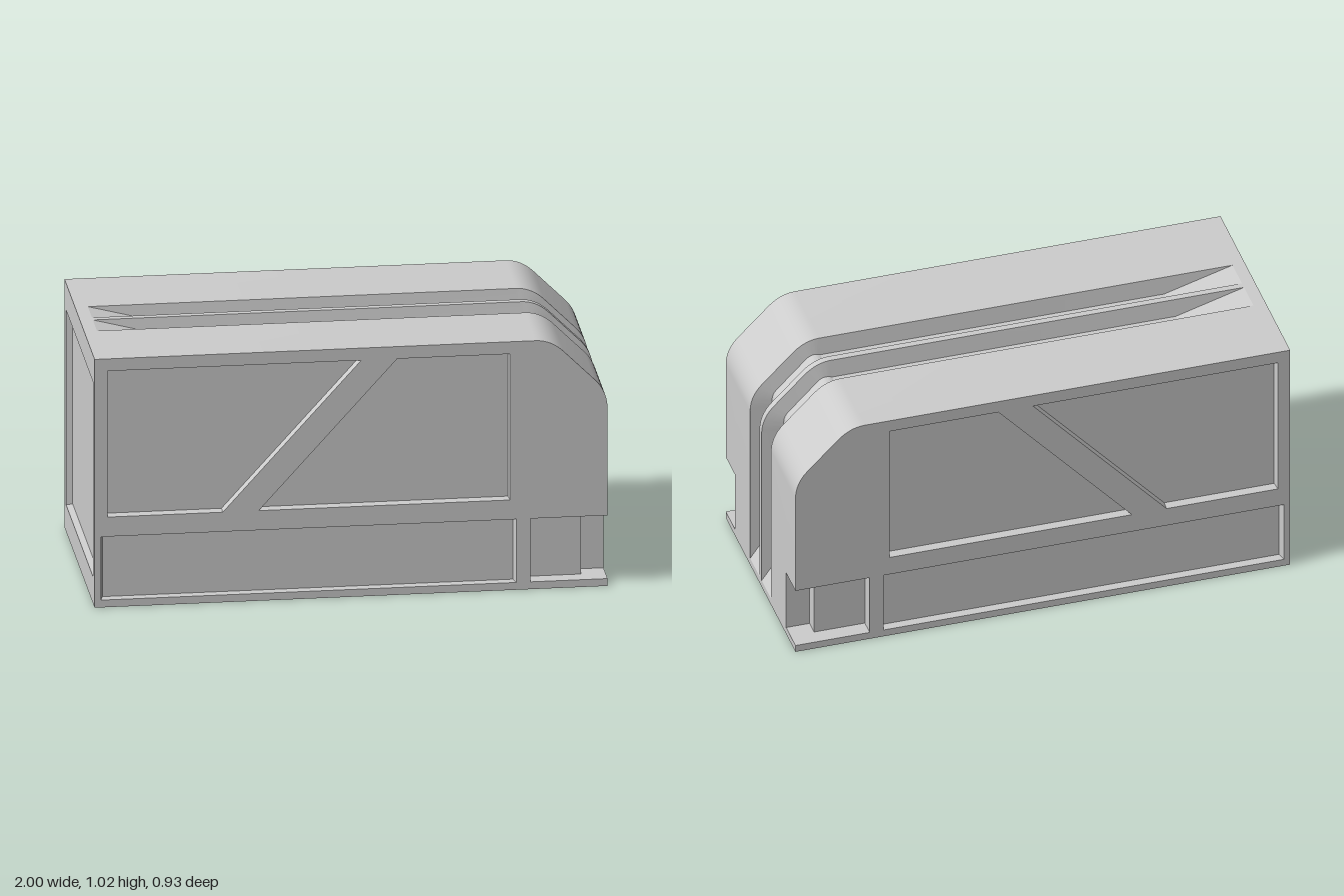
import * as THREE from 'three';
import { toCreasedNormals } from 'three/addons/utils/BufferGeometryUtils.js';

const W = 0.465, H = 1.02;
const material = new THREE.MeshStandardMaterial({ color: 0xcccccc });
const v2 = (x, y) => new THREE.Vector2(x, y);
const v3 = (x, y, z) => new THREE.Vector3(x, y, z);

// Turns a list of four-cornered faces into a geometry
function quadGeometry(quads) {
  const points = quads.flatMap(([a, b, c, d]) => [a, b, c, a, c, d]);
  return toCreasedNormals(new THREE.BufferGeometry().setFromPoints(points), 0.2);
}

function add(parent, name, geometry) {
  const mesh = new THREE.Mesh(geometry, material);
  mesh.name = name;
  parent.add(mesh);
  return mesh;
}

// Sunken panel with slightly sloped walls; corners run counter-clockwise
function addPocket(parent, name, corners, depth) {
  const centre = corners.reduce((s, p) => s.add(p), v2(0, 0)).divideScalar(corners.length);
  const inner = corners.map((p) => p.clone().lerp(centre, 0.012));
  const walls = corners.map((p, i) => {
    const j = (i + 1) % corners.length;
    return [v3(p.x, p.y, 0), v3(corners[j].x, corners[j].y, 0),
      v3(inner[j].x, inner[j].y, -depth), v3(inner[i].x, inner[i].y, -depth)];
  });
  add(parent, name + 'Walls', quadGeometry(walls));
  add(parent, name, new THREE.ShapeGeometry(new THREE.Shape(inner)).translate(0, 0, -depth));
}

const rect = (x0, y0, x1, y1) => [v2(x0, y0), v2(x1, y0), v2(x1, y1), v2(x0, y1)];

// Flat wall with pockets sunk into it
function addPanelledWall(parent, name, outline, pockets, depth) {
  const shape = new THREE.Shape(outline);
  for (const corners of Object.values(pockets)) shape.holes.push(new THREE.Path(corners));
  add(parent, name, new THREE.ShapeGeometry(shape));
  for (const [key, corners] of Object.entries(pockets)) addPocket(parent, key, corners, depth);
}

// Rounded chamfer between roof and nose
function bendPoints() {
  const top = new THREE.QuadraticBezierCurve(v2(0.72, H), v2(0.78, H), v2(0.83, 0.97));
  const low = new THREE.QuadraticBezierCurve(v2(0.95, 0.85), v2(1, 0.80), v2(1, 0.73));
  return [...top.getPoints(10), ...low.getPoints(10)];
}

// Roof and nose skin with two tapering grooves
function shellGeometry(bend) {
  // Each station: outline point, groove strength, blend from roof to nose
  const stations = [
    [v2(-1, H), 0, 0], [v2(-0.95, H), 0, 0], [v2(-0.67, H), 1, 0],
    ...bend.map((p, i) => [p, 1, i / (bend.length - 1)]),
    [v2(1, 0.29), 1, 1], [v2(1, 0.18), 1, 1], [v2(1, 0.03), 0, 1], [v2(1, 0), 0, 1],
  ];
  // Each column: z at the surface, z at the groove floor, sunk or not
  const half = [[W, W, 0], [0.34, 0.34, 0], [0.14, 0.14, 0],
    [0.14, 0.127, 1], [0.014, 0.028, 1], [0.014, 0.014, 0]];
  const columns = [...half, ...half.map(([a, b, s]) => [-a, -b, s]).reverse()];
  const at = ([p, k, t], [zTop, zFloor, sunk]) => v3(
    p.x - 0.095 * t * k * sunk,
    p.y - 0.07 * (1 - t) * k * sunk,
    THREE.MathUtils.lerp(zTop, zFloor, k));
  const quads = [];
  for (let i = 0; i < stations.length - 1; i++) {
    const y0 = stations[i][0].y, y1 = stations[i + 1][0].y;
    for (let j = 0; j < columns.length - 1; j++) {
      const edge = j === 0 || j === columns.length - 2;
      if (edge && y0 <= 0.29 && y1 >= 0.03) continue; // opening of the corner notch
      quads.push([at(stations[i], columns[j]), at(stations[i + 1], columns[j]),
        at(stations[i + 1], columns[j + 1]), at(stations[i], columns[j + 1])]);
    }
  }
  return quadGeometry(quads);
}

// L-shaped notch wrapping the lower nose corner
function notchGeometry() {
  const y0 = 0.03, y1 = 0.29;
  const path = [[0.7, W], [0.7, 0.4], [0.905, 0.4], [0.905, 0.34], [1, 0.34]];
  const quads = [];
  for (let i = 0; i < path.length - 1; i++) {
    const [ax, az] = path[i], [bx, bz] = path[i + 1];
    quads.push([v3(ax, y0, az), v3(bx, y0, bz), v3(bx, y1, bz), v3(ax, y1, az)]);
  }
  for (const [xa, xb, z] of [[0.7, 0.905, 0.4], [0.905, 1, 0.34]]) {
    const level = (y) => [v3(xa, y, W), v3(xb, y, W), v3(xb, y, z), v3(xa, y, z)];
    quads.push(level(y0), level(y1).reverse());
  }
  return quadGeometry(quads);
}

export function createModel() {
  const model = new THREE.Group();
  model.name = 'cabinBody';
  const bend = bendPoints();
  add(model, 'roofAndNose', shellGeometry(bend));

  // Both sides, mirrored
  const outline = [v2(-1, 0), v2(1, 0), v2(1, 0.03), v2(0.7, 0.03), v2(0.7, 0.29), v2(1, 0.29),
    ...[...bend].reverse(), v2(-1, H)];
  const pockets = {
    rearWindow: [v2(-0.95, 0.37), v2(-0.5, 0.37), v2(0.04, 0.97), v2(-0.95, 0.97)],
    frontWindow: [v2(-0.36, 0.37), v2(0.62, 0.37), v2(0.62, 0.97), v2(0.18, 0.97)],
    lowerPanel: rect(-0.975, 0.03, 0.645, 0.29),
  };
  for (const s of [1, -1]) {
    const side = new THREE.Group();
    side.name = s > 0 ? 'frontSide' : 'backSide';
    const wall = new THREE.Group();
    wall.name = 'sideWall';
    wall.position.z = W;
    addPanelledWall(wall, 'sideFrame', outline, pockets, 0.035);
    side.add(wall);
    add(side, 'cornerNotch', notchGeometry());
    side.scale.z = s;
    model.add(side);
  }

  // End wall with one large sunken panel
  const end = new THREE.Group();
  end.name = 'endWall';
  addPanelledWall(end, 'endFrame', rect(-W, 0, W, H), { endPanel: rect(-0.415, 0.11, 0.415, 0.91) }, 0.025);
  end.rotation.y = -Math.PI / 2;
  end.position.x = -1;
  model.add(end);

  // Underside
  add(model, 'underside', new THREE.PlaneGeometry(2, 2 * W).rotateX(Math.PI / 2));
  return model;
}
